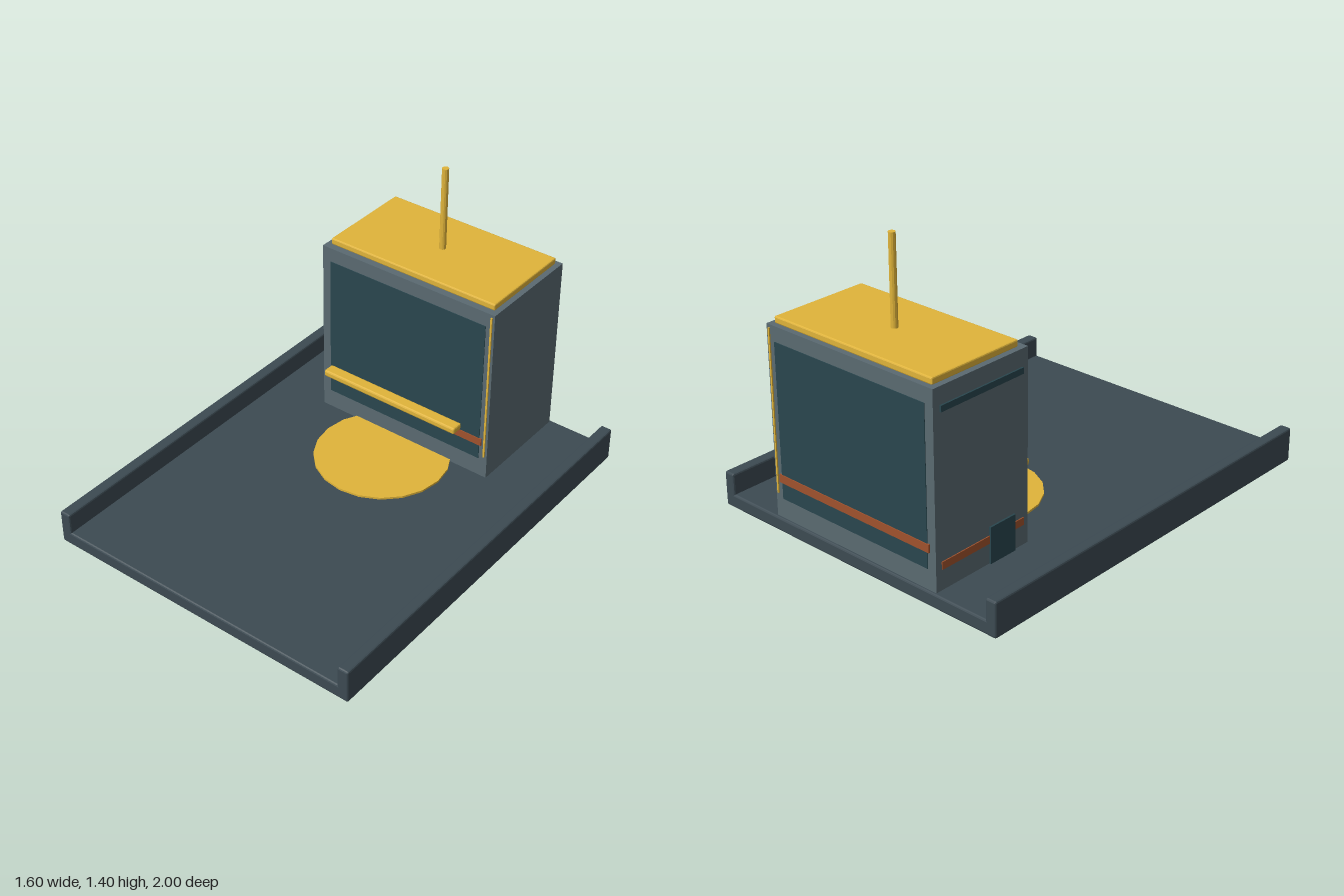
import * as THREE from 'three';
import { RoundedBoxGeometry } from 'three/addons/geometries/RoundedBoxGeometry.js';

const material = (color) => new THREE.MeshStandardMaterial({ color, flatShading: true });

export function createModel() {
  const model = new THREE.Group();
  const slate = material(0x3c4a52);
  const grey = material(0x5a6a71);
  const teal = material(0x29464e);
  const gold = material(0xe0b43a);
  const rust = material(0xa0522d);

  const add = (name, geometry, mat, x, y, z) => {
    const mesh = new THREE.Mesh(geometry, mat);
    mesh.name = name;
    mesh.position.set(x, y, z);
    model.add(mesh);
    return mesh;
  };
  // Box from its limits; a bevel above zero softens the edges
  const box = (name, mat, [x0, x1], [y0, y1], [z0, z1], bevel = 0) => {
    const size = [x1 - x0, y1 - y0, z1 - z0];
    const geometry = bevel ? new RoundedBoxGeometry(...size, 1, bevel) : new THREE.BoxGeometry(...size);
    return add(name, geometry, mat, (x0 + x1) / 2, (y0 + y1) / 2, (z0 + z1) / 2);
  };

  // Floor slab with a raised rail along each side
  box('base', slate, [-0.8, 0.8], [0, 0.065], [-1, 1], 0.008);
  for (const s of [-1, 1]) {
    const edges = [s * 0.8, s * 0.745].sort((a, b) => a - b);
    box(s > 0 ? 'leftRail' : 'rightRail', slate, edges, [0.04, 0.165], [-1, 1], 0.008);
  }

  // Cabin, roof plate and mast
  box('cabin', grey, [-0.472, 0.472], [0.06, 0.955], [-0.987, -0.447]);
  box('roofPlate', gold, [-0.448, 0.448], [0.955, 0.987], [-0.965, -0.478], 0.006);
  add('mast', new THREE.CylinderGeometry(0.016, 0.016, 0.42, 12), gold, 0, 1.186, -0.72);

  // Panel, band and corner strip on the front and back walls
  for (const [side, wall, out] of [['front', -0.447, 1], ['back', -0.987, -1]]) {
    const layer = (depth) => [wall - depth, wall + depth];
    box(side + 'Panel', teal, [-0.428, 0.428], [0.16, 0.885], layer(0.003));
    box(side + 'Band', rust, [-0.44, 0.44], [0.237, 0.275], layer(0.007));
    box(side + 'CornerStrip', gold, [0.452, 0.461], [0.18, 0.94], layer(0.006));
  }

  // Details on the right wall: upper trim, lower band and small door
  box('sideTrim', teal, [-0.48, -0.468], [0.848, 0.876], [-0.95, -0.48]);
  box('sideBand', rust, [-0.477, -0.468], [0.16, 0.195], [-0.955, -0.475]);
  box('sideDoor', teal, [-0.481, -0.468], [0.06, 0.235], [-0.68, -0.53]);

  // Bar ahead of the cabin and round pad on the floor
  box('frontBar', gold, [-0.37, 0.37], [0.34, 0.372], [-0.38, -0.32], 0.008);
  add('floorPad', new THREE.CylinderGeometry(0.32, 0.32, 0.014, 20), gold, 0, 0.068, -0.285);

  return model;
}
